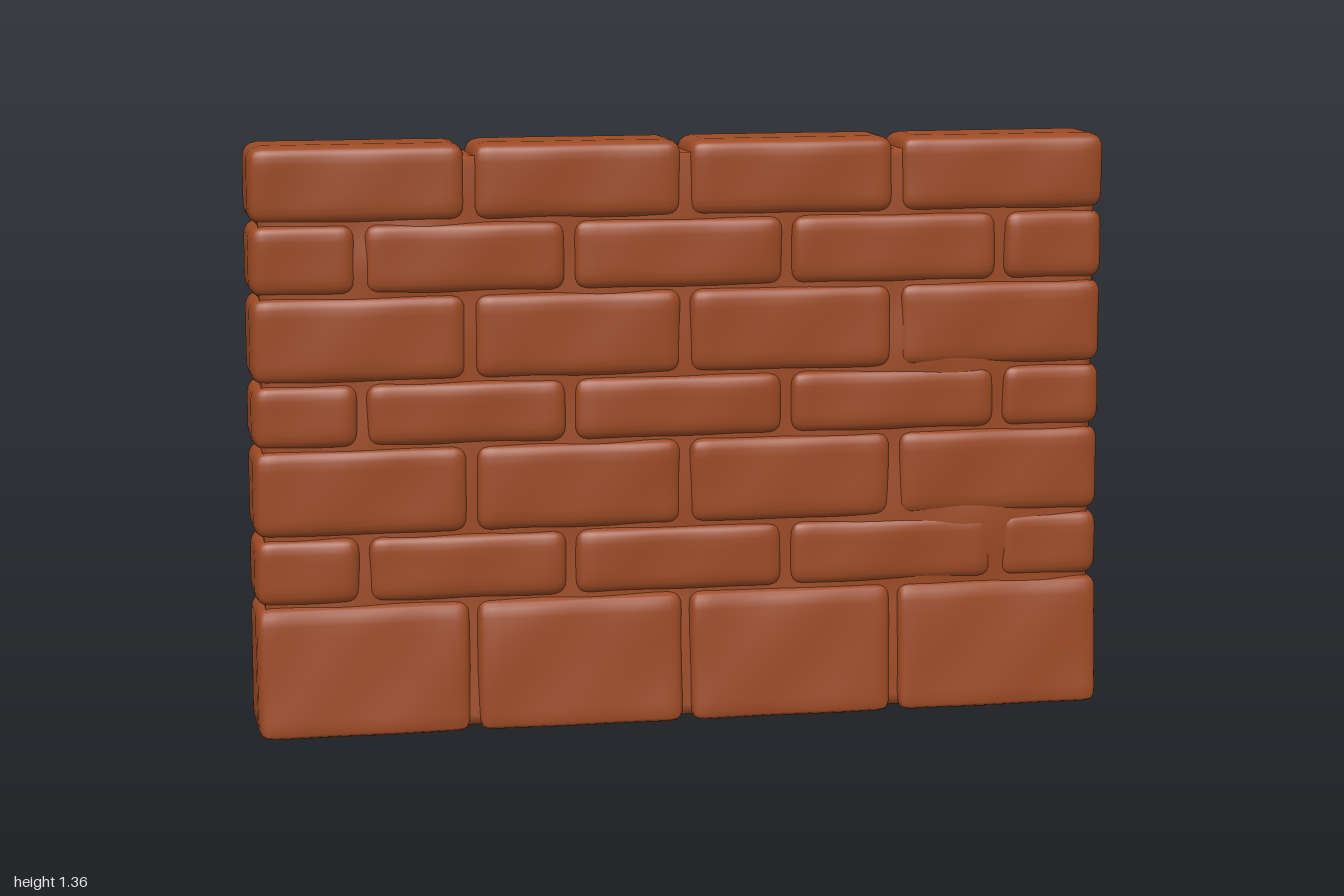
import * as THREE from 'three';
import { mergeVertices } from 'three/addons/utils/BufferGeometryUtils.js';

const clay = new THREE.MeshStandardMaterial({ color: 0x9c4a24 });
clay.name = 'fired clay';

// Smooth surface waviness, different for each seed
function wave(x, y, seed) {
  return 0.5 * Math.sin(x * 11 + seed * 1.7) * Math.cos(y * 17 + seed * 2.3)
    + 0.5 * Math.sin(x * 23 - y * 19 + seed * 3.1);
}

// Subdivided box whose vertices are moved by a rule, with smooth normals
function shapedBox(segments, rule) {
  let geo = new THREE.BoxGeometry(2, 2, 2, ...segments);
  geo.deleteAttribute('normal');
  geo.deleteAttribute('uv');
  geo = mergeVertices(geo);
  const pos = geo.attributes.position;
  const p = new THREE.Vector3();
  for (let i = 0; i < pos.count; i++) {
    rule(p.fromBufferAttribute(pos, i));
    pos.setXYZ(i, p.x, p.y, p.z);
  }
  geo.computeVertexNormals();
  return geo;
}

// Worn, rounded stone between x0..x1 and y0..y1; depth may taper upwards
function stone(name, x0, x1, y0, y1, depthLow, depthHigh, radius, seed) {
  const half = new THREE.Vector3((x1 - x0) / 2, (y1 - y0) / 2, 1);
  const inner = new THREE.Vector3();
  const spread = (u) => Math.sign(u) * (1 - Math.pow(1 - Math.abs(u), 1.8));
  const geo = shapedBox([18, 12, 10], (p) => {
    const t = (p.y + 1) / 2;
    half.z = depthLow + (depthHigh - depthLow) * t;
    p.set(spread(p.x), spread(p.y), spread(p.z)).multiply(half);
    inner.set(
      THREE.MathUtils.clamp(p.x, radius - half.x, half.x - radius),
      THREE.MathUtils.clamp(p.y, radius - half.y, half.y - radius),
      THREE.MathUtils.clamp(p.z, radius - half.z, half.z - radius));
    p.sub(inner);
    if (p.lengthSq() > 0 && (Math.abs(inner.x) >= half.x - radius - 1e-6
      || Math.abs(inner.y) >= half.y - radius - 1e-6
      || Math.abs(inner.z) >= half.z - radius - 1e-6)) p.setLength(radius);
    p.add(inner);
    const side = Math.sign(p.z);
    p.z += side * 0.0035 * wave(p.x, p.y, seed + side) * Math.min(1, Math.abs(p.z) / 0.06);
  });
  const mesh = new THREE.Mesh(geo, clay);
  mesh.name = name;
  mesh.position.set((x0 + x1) / 2, (y0 + y1) / 2, 0);
  return mesh;
}

// Places where the mortar is nearly flush with the bricks: x, y, radius x, radius y
const wornFront = [[0.68, 0.42, 0.3, 0.13], [0.62, 0.85, 0.12, 0.12], [-0.62, 1.1, 0.14, 0.06]];
const wornBack = [[0.15, 0.75, 0.35, 0.22], [-0.45, 0.5, 0.25, 0.15], [0.5, 1.1, 0.2, 0.1]];
function wear(x, y, spots) {
  let sum = 0;
  for (const [sx, sy, rx, ry] of spots) sum += Math.exp(-(((x - sx) / rx) ** 2) - ((y - sy) / ry) ** 2);
  return Math.min(1, sum);
}

function mortarCore() {
  const geo = shapedBox([90, 60, 4], (p) => {
    const side = Math.sign(p.z);
    const x = p.x * 0.977;
    const y = 0.015 + (p.y + 1) / 2 * 1.318;
    const foot = Math.max(0, 1 - y / 0.29) * 0.024;
    const spots = side > 0 ? wornFront : wornBack;
    const edge = Math.min(1, (1 - Math.abs(p.x)) * 12);
    const depth = 0.08 + foot + (0.003 * wave(x, y, 5 + side) + 0.013 * wear(x, y, spots)) * edge;
    p.set(x, y, p.z * depth);
  });
  const mesh = new THREE.Mesh(geo, clay);
  mesh.name = 'mortarCore';
  return mesh;
}

export function createModel() {
  const wall = new THREE.Group();
  wall.name = 'brickWall';
  wall.add(mortarCore());

  // Courses from bottom to top, in alternating bond
  const whole = [-1, -0.5, 0, 0.5, 1];
  const shifted = [-1, -0.75, -0.27, 0.24, 0.75, 1];
  const levels = [0, 0.307, 0.465, 0.67, 0.82, 1.02, 1.185, 1.362];
  for (let row = 0; row < levels.length - 1; row++) {
    const joints = row % 2 === 0 ? whole : shifted;
    const course = new THREE.Group();
    course.name = row === 0 ? 'footingCourse' : 'brickCourse' + row;
    for (let i = 0; i < joints.length - 1; i++) {
      const gapL = i === 0 ? 0 : 0.008;
      const gapR = i === joints.length - 2 ? 0 : 0.008;
      const x0 = joints[i] + gapL;
      const x1 = joints[i + 1] - gapR;
      const seed = row * 7 + i * 3;
      course.add(row === 0
        ? stone('footingStone', x0, x1, 0, levels[1], 0.127, 0.096, 0.03, seed)
        : stone('brick', x0, x1, levels[row], levels[row + 1], 0.097, 0.097, 0.034, seed));
    }
    wall.add(course);
  }
  return wall;
}
